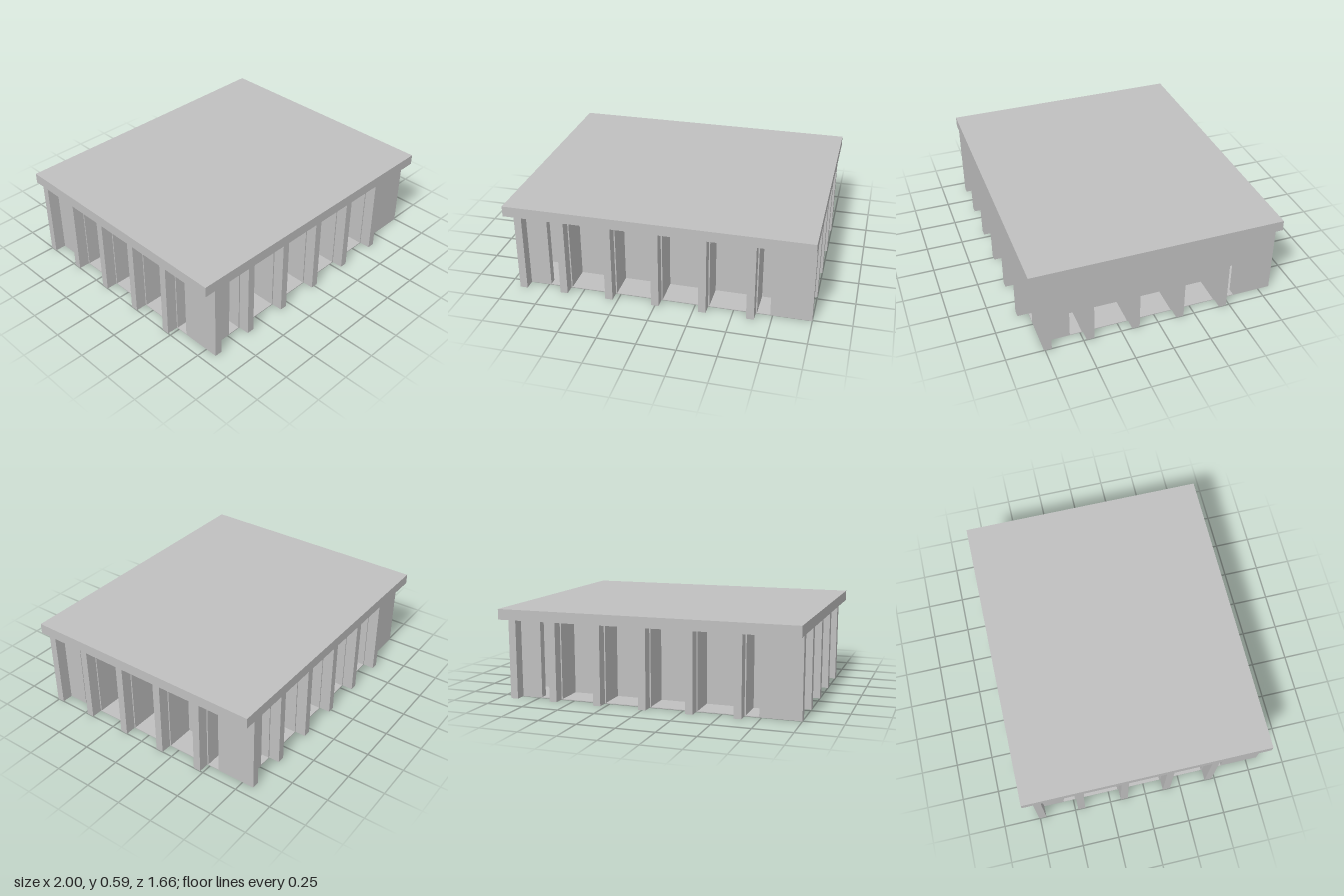
import * as THREE from 'three';

export function createModel() {
  const model = new THREE.Group();
  const concrete = new THREE.MeshStandardMaterial({ color: 0xc0c0c0 });
  concrete.name = 'concreteGrey';

  const roofBase = 0.52, top = 0.59;
  const outX = 1, outZ = 0.83;          // roof edge and fin tips
  const wallX = 0.925, wallZ = 0.757;   // floor edge and corner walls
  const coreX = 0.735, coreZ = 0.567;   // recessed core
  const thick = 0.05, pier = 0.066;

  // Box given by its limits on each axis
  function block(parent, name, x0, x1, z0, z1, y0 = 0, y1 = roofBase) {
    const mesh = new THREE.Mesh(new THREE.BoxGeometry(x1 - x0, y1 - y0, z1 - z0), concrete);
    mesh.position.set((x0 + x1) / 2, (y0 + y1) / 2, (z0 + z1) / 2);
    mesh.name = name;
    parent.add(mesh);
  }

  block(model, 'roofSlab', -outX, outX, -outZ, outZ, roofBase, top);
  block(model, 'floorPlate', -wallX, wallX, -wallZ, wallZ, 0, 0.005);
  block(model, 'core', -coreX, coreX, -coreZ, coreZ, 0.005, roofBase);

  // Half of the facade; the other half is the same turned by 180 degrees
  for (let turn = 0; turn < 2; turn++) {
    const half = new THREE.Group();
    half.name = turn ? 'backLeftFacade' : 'frontRightFacade';
    half.rotation.y = turn * Math.PI;
    model.add(half);

    // Long side: wide piers with narrow fins in front
    for (let i = -2; i <= 2; i++) {
      const x = i * 0.309;
      block(half, 'longSidePier', x - pier / 2, x + pier / 2, coreZ, wallZ);
      block(half, 'longSideFin', x - thick / 2, x + thick / 2, wallZ, outZ);
    }
    // Short side
    for (let i = -1.5; i <= 1.5; i++) {
      const z = i * 0.303;
      block(half, 'shortSidePier', coreX, wallX, z - pier / 2, z + pier / 2);
      block(half, 'shortSideFin', wallX, outX, z - thick / 2, z + thick / 2);
    }
    // Corner with its wall running out to the short side
    block(half, 'cornerWall', coreX, outX, wallZ - thick, wallZ);
    block(half, 'cornerReturn', wallX - thick, wallX, coreZ, wallZ - thick);
    // Corner with its wall running out to the long side
    block(half, 'cornerWall', -wallX, -wallX + thick, coreZ, outZ);
    block(half, 'cornerReturn', -wallX + thick, -coreX, wallZ - thick, wallZ);
  }
  return model;
}
